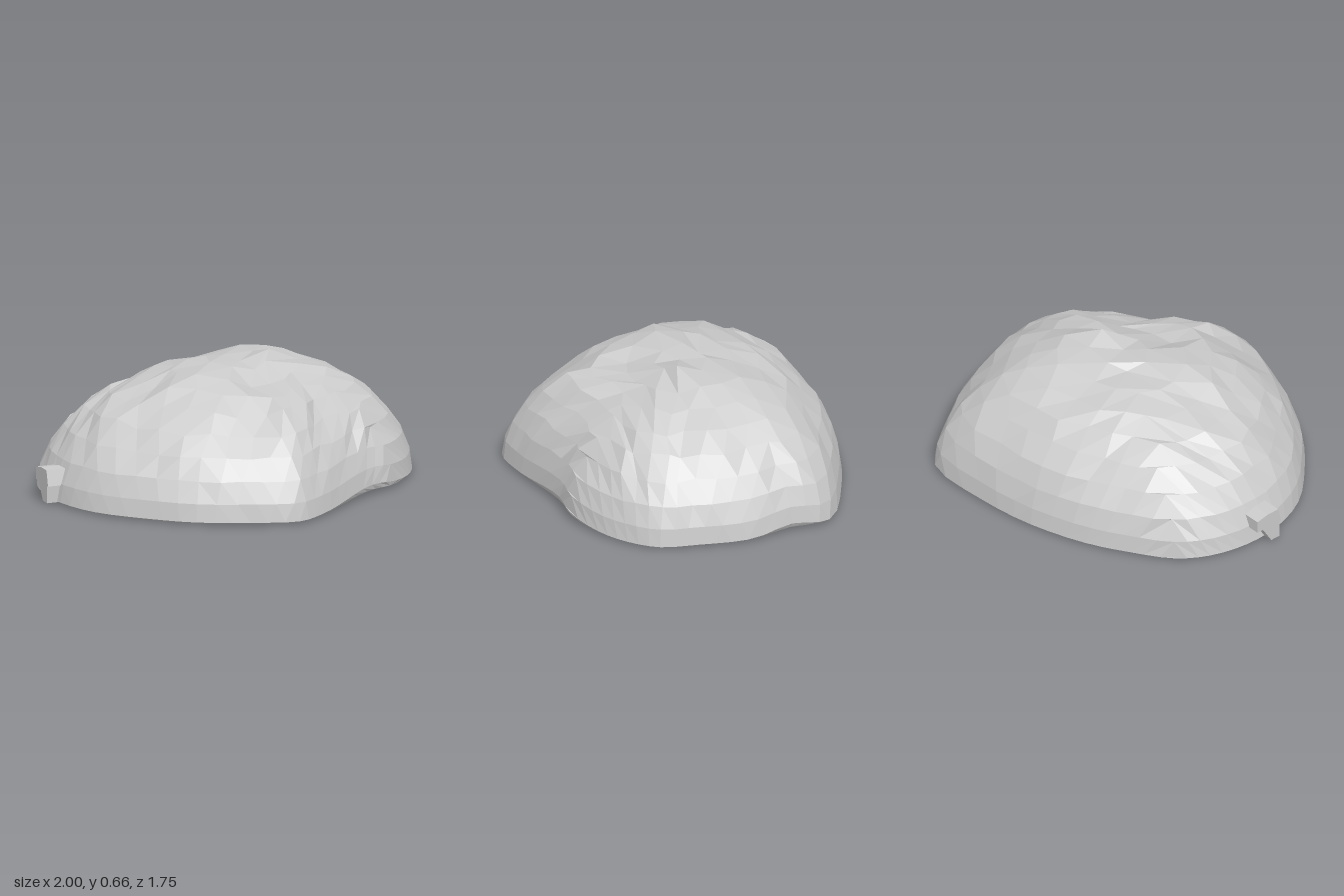
import * as THREE from 'three';

const material = new THREE.MeshStandardMaterial({ color: 0xcccccc, flatShading: true });
const centre = new THREE.Vector2(0.1, -0.05);

// Footprint in (x, z), starting at +x and turning towards +z
const footprint = new THREE.CatmullRomCurve3([
  [1, -0.04], [0.96, 0.13], [0.87, 0.29], [0.72, 0.45], [0.58, 0.52], [0.38, 0.66],
  [0.2, 0.79], [0.04, 0.87], [-0.2, 0.8], [-0.45, 0.69], [-0.66, 0.52], [-0.85, 0.31],
  [-0.94, 0.08], [-0.95, -0.13], [-0.9, -0.33], [-0.8, -0.48], [-0.6, -0.62], [-0.4, -0.73],
  [-0.1, -0.83], [0.22, -0.873], [0.6, -0.855], [0.73, -0.68], [0.87, -0.47], [0.95, -0.23],
].map(([x, z]) => new THREE.Vector3(x, 0, z)), true);

// Shallow chips and raised lumps on the crown: x, z, radius, height change
const chips = [
  [0.12, 0.2, 0.16, -0.035], [0.4, 0.2, 0.14, -0.03], [0.22, 0.0, 0.14, 0.04],
  [-0.1, 0.5, 0.13, -0.02], [0.1, 0.52, 0.12, 0.025], [-0.25, 0.1, 0.15, 0.015],
  [0.3, -0.3, 0.16, 0.02], [-0.65, 0.1, 0.13, 0.02],
];

function seededRandom(seed) {
  return () => {
    seed = (seed * 16807) % 2147483647;
    return seed / 2147483647;
  };
}

// Underside edge lifts a little at the front right and back right
function rimHeight(x, z) {
  const lift = (cx, cz, r, h) => h * Math.exp(-((x - cx) ** 2 + (z - cz) ** 2) / (r * r));
  return 0.015 + lift(0.58, 0.53, 0.28, 0.045) + lift(0.74, -0.68, 0.14, 0.035);
}

// A square grid wrapped onto the footprint; height(s, x, z, random) sets y
function footprintGrid(height, jitter, seed, flip) {
  const random = seededRandom(seed);
  const geometry = new THREE.PlaneGeometry(2, 2, 18, 18).rotateX(-Math.PI / 2);
  const pos = geometry.attributes.position;
  for (let i = 0; i < pos.count; i++) {
    const a = pos.getX(i), b = pos.getZ(i);
    const t = Math.max(Math.abs(a), Math.abs(b));
    let angle = 0;
    if (t > 1e-6) {
      angle = Math.abs(a) > Math.abs(b)
        ? (Math.PI / 4) * (b / a) + (a < 0 ? Math.PI : 0)
        : Math.PI / 2 - (Math.PI / 4) * (a / b) + (b < 0 ? Math.PI : 0);
    }
    const s = t > 0.999 ? 1 : Math.sin(t * Math.PI / 2);
    const edge = footprint.getPoint((angle / (2 * Math.PI) + 1) % 1);
    const wobble = jitter * Math.min(1, (1 - s) * 4);
    const x = centre.x + s * (edge.x - centre.x) + (random() - 0.5) * wobble;
    const z = centre.y + s * (edge.z - centre.y) + (random() - 0.5) * wobble;
    const rim = rimHeight(edge.x, edge.z);
    pos.setXYZ(i, x, s === 1 ? rim : height(s, x, z, rim, random), z);
  }
  if (flip) {
    const index = geometry.index;
    for (let i = 0; i < index.count; i += 3) {
      const first = index.getX(i);
      index.setX(i, index.getX(i + 2));
      index.setX(i + 2, first);
    }
  }
  geometry.computeVertexNormals();
  return geometry;
}

// Rounded dome, rougher near the top and towards the front
function domeHeight(s, x, z, rim, random) {
  let y = rim * s ** 8 + 0.615 * Math.pow(1 - Math.pow(s, 2.6), 0.58);
  for (const [cx, cz, r, h] of chips) {
    y += h * Math.exp(-((x - cx) ** 2 + (z - cz) ** 2) / (r * r));
  }
  const rough = Math.min(1, (1 - s) * 3) * (z > -0.25 ? 0.038 : 0.015);
  return y + (random() - 0.5) * rough;
}

function baseHeight(s, x, z, rim, random) {
  return s > 0.9 ? 0.5 * rim : 0.008 * random();
}

// Small stub on the side: a block with a ridge and a leg tapering downwards
function createStub() {
  const stub = new THREE.Group();
  stub.name = 'sideStub';

  const profile = new THREE.Shape([
    [0.1, 0.1], [0.1, 0.165], [0.03, 0.18], [-0.04, 0.18], [-0.06, 0.1],
  ].map(([z, y]) => new THREE.Vector2(z, y)));
  const block = new THREE.Mesh(
    new THREE.ExtrudeGeometry(profile, { depth: 0.12, bevelEnabled: false }), material);
  block.name = 'stubBlock';
  block.rotation.y = Math.PI / 2;
  block.position.x = -1;

  const legGeometry = new THREE.BoxGeometry(0.1, 0.1, 0.12);
  const pos = legGeometry.attributes.position;
  for (let i = 0; i < pos.count; i++) {
    if (pos.getY(i) < 0) pos.setZ(i, pos.getZ(i) * 0.45 + 0.03);
  }
  legGeometry.computeVertexNormals();
  const leg = new THREE.Mesh(legGeometry, material);
  leg.name = 'stubLeg';
  leg.position.set(-0.95, 0.06, -0.01);

  stub.add(block, leg);
  return stub;
}

export function createModel() {
  const model = new THREE.Group();
  model.name = 'boulder';

  const dome = new THREE.Mesh(footprintGrid(domeHeight, 0.045, 77, false), material);
  dome.name = 'rockDome';

  const base = new THREE.Mesh(footprintGrid(baseHeight, 0, 31, true), material);
  base.name = 'rockBase';

  model.add(dome, base, createStub());
  return model;
}
